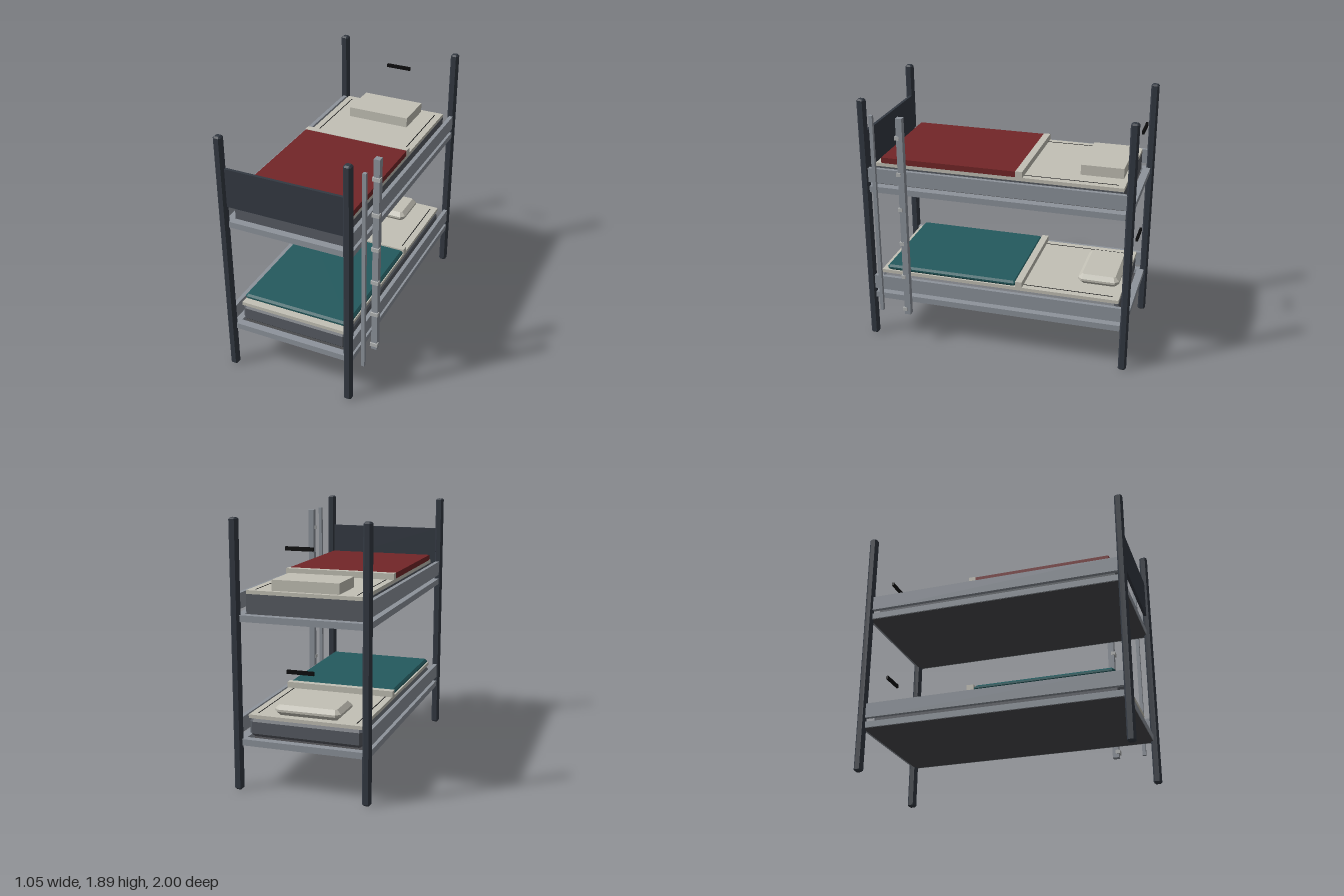
import * as THREE from 'three';

const mat = (color) => new THREE.MeshStandardMaterial({ color, flatShading: true });
const dark = mat(0x333942), steel = mat(0x8d939b), base = mat(0x4a4b4e), foam = mat(0x575b62);
const linen = mat(0xc2c0b5), red = mat(0x732628), teal = mat(0x245a5e), black = mat(0x0c0c0d), clip = mat(0xb4b6b6);

// Box with every edge chamfered by c, centred on the origin
function chamferBox(w, h, d, c) {
  const x = w / 2 - c, y = d / 2 - c, k = c * 0.414;
  const shape = new THREE.Shape([
    [-x + k, -y], [x - k, -y], [x, -y + k], [x, y - k],
    [x - k, y], [-x + k, y], [-x, y - k], [-x, -y + k],
  ].map(([a, b]) => new THREE.Vector2(a, b)));
  const geo = new THREE.ExtrudeGeometry(shape, {
    depth: h - 2 * c, bevelEnabled: true, bevelSize: c, bevelThickness: c, bevelSegments: 1,
  });
  geo.rotateX(-Math.PI / 2);
  geo.translate(0, c - h / 2, 0);
  return geo;
}

// Adds a box given by its ranges along x, y and z; c > 0 chamfers it
function block(parent, name, material, [x0, x1], [y0, y1], [z0, z1], c = 0) {
  const w = x1 - x0, h = y1 - y0, d = z1 - z0;
  const geo = c ? chamferBox(w, h, d, c) : new THREE.BoxGeometry(w, h, d);
  const mesh = new THREE.Mesh(geo, material);
  mesh.name = name;
  mesh.position.set((x0 + x1) / 2, (y0 + y1) / 2, (z0 + z1) / 2);
  parent.add(mesh);
}

// One bunk, with y measured from the underside of its frame
function createBunk(name, y, blanketMaterial, soft) {
  const bunk = new THREE.Group();
  bunk.name = name;
  bunk.position.y = y;

  // Frame: base plate, low rails all round, side boards
  block(bunk, 'basePlate', base, [-0.5, 0.44], [0, 0.012], [-0.96, 0.96]);
  for (const [x0, x1] of [[-0.51, -0.455], [0.385, 0.45]])
    block(bunk, 'sideRail', steel, [x0, x1], [0.001, 0.046], [-0.94, 0.94]);
  for (const [z0, z1] of [[-0.975, -0.92], [0.91, 0.965]])
    block(bunk, 'endRail', steel, [-0.475, 0.405], [0.001, 0.046], [z0, z1]);
  for (const [x0, x1] of [[-0.51, -0.48], [0.42, 0.45]])
    block(bunk, 'sideBoard', steel, [x0, x1], [0.078, 0.187], [-0.945, 0.945]);

  // Mattress and sheet
  block(bunk, 'mattress', foam, [-0.45, 0.38], [0.046, 0.182], [-0.91, 0.91], soft ? 0.025 : 0);
  block(bunk, 'sheet', linen, [-0.445, 0.378], [0.182, 0.208], [-0.912, 0.91]);
  for (const x of [-0.394, 0.326])
    block(bunk, 'sheetSeam', black, [x - 0.003, x + 0.003], [0.2, 0.2095], [-0.865, -0.19]);

  // Bedding
  block(bunk, 'blanket', blanketMaterial, [-0.446, 0.378], [0.208, 0.25], [-0.145, 0.868], soft ? 0.015 : 0);
  block(bunk, 'blanketFold', linen, [-0.45, 0.381], [0.207, 0.253], [-0.193, -0.142]);
  block(bunk, 'pillow', linen, [-0.275, 0.205], [0.207, 0.283], [-0.88, -0.572], soft ? 0.03 : 0);
  return bunk;
}

export function createModel() {
  const model = new THREE.Group();
  model.name = 'bunkBed';

  // Corner posts
  for (const [x0, x1] of [[-0.528, -0.472], [0.402, 0.458]])
    for (const [z0, z1] of [[-1, -0.943], [0.943, 1]])
      block(model, 'post', dark, [x0, x1], [0, 1.893], [z0, z1], 0.011);

  model.add(createBunk('lowerBunk', 0.32, teal, true));
  model.add(createBunk('upperBunk', 1.192, red, false));

  // Foot panel of the upper bunk
  block(model, 'footPanel', dark, [-0.475, 0.405], [1.36, 1.65], [0.95, 0.972]);

  // Bars at the head end
  for (const y of [0.864, 1.69])
    block(model, 'headBar', black, [-0.132, 0.062], [y, y + 0.026], [-0.984, -0.967]);

  // Ladder uprights with clips
  const ladder = new THREE.Group();
  ladder.name = 'ladder';
  block(ladder, 'thickUpright', steel, [0.475, 0.519], [0.248, 1.8], [0.637, 0.684]);
  block(ladder, 'thinUpright', steel, [0.486, 0.512], [0.248, 1.8], [0.86, 0.886]);
  for (let i = 0; i < 6; i++) {
    const y = 0.292 + i * 0.2725;
    block(ladder, 'clip', clip, [0.469, 0.525], [y - 0.014, y + 0.014], [0.662, 0.694]);
  }
  model.add(ladder);
  return model;
}
